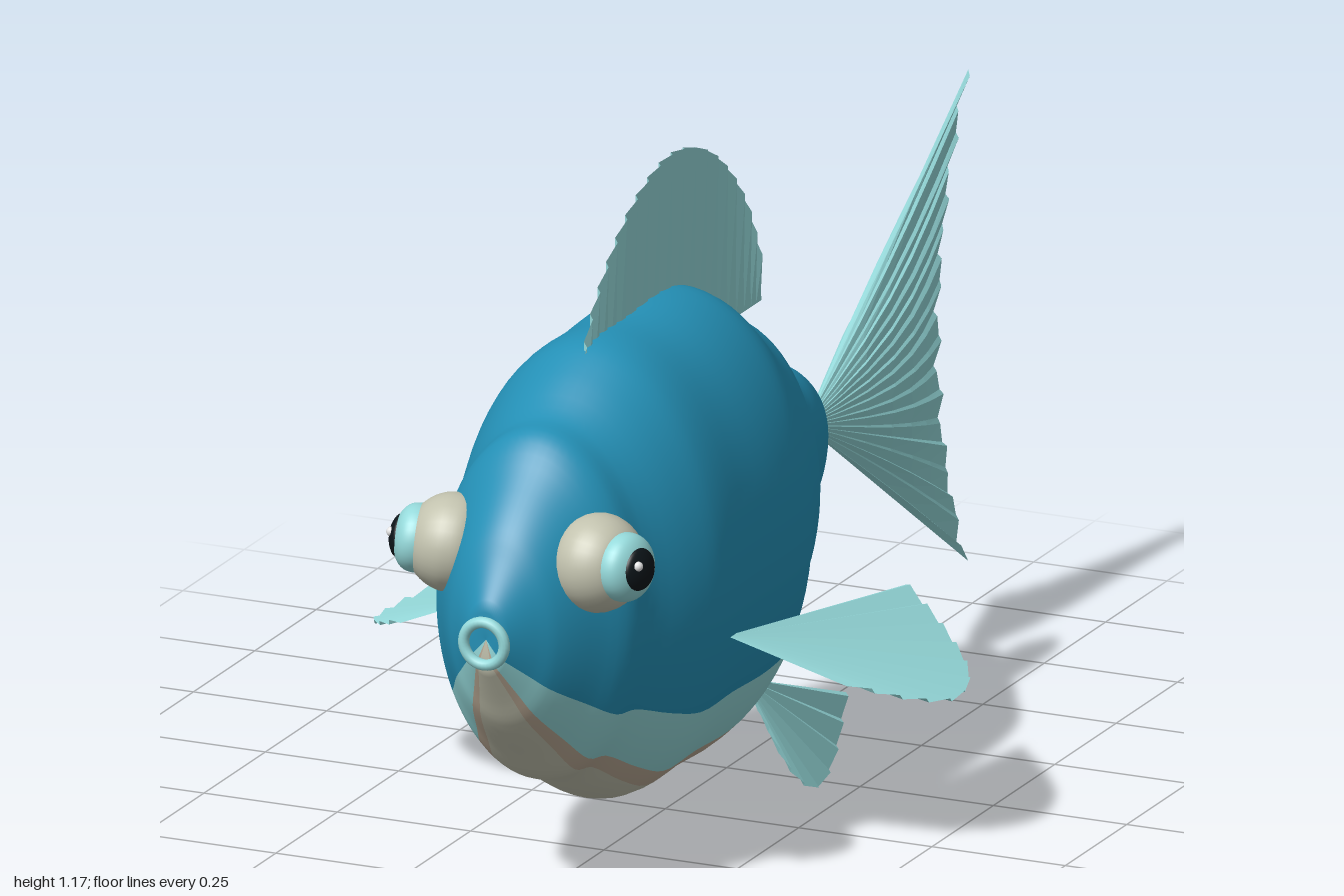
import * as THREE from 'three';

const mat = (name, color, side = THREE.FrontSide) => {
  const m = new THREE.MeshStandardMaterial({ color, side });
  m.name = name;
  return m;
};
const V2 = (x, y) => new THREE.Vector2(x, y);
const V3 = (x, y, z) => new THREE.Vector3(x, y, z);

// Flat-shaded pleated sheet: surface(t, s) runs along the fin (t) and root to rim (s)
function pleatedFin(surface, pleats, rows, normal, depth) {
  const point = (t, s, k) => surface(t, s).addScaledVector(normal, (k % 2 ? 1 : -1) * depth * s);
  const ts = [];
  for (let i = 0; i < pleats; i++) ts.push(i / pleats, (i + 0.82) / pleats);
  ts.push(1);
  const pos = [];
  for (let k = 0; k < ts.length - 1; k++) {
    for (let r = 0; r < rows; r++) {
      const a = point(ts[k], r / rows, k), b = point(ts[k + 1], r / rows, k + 1);
      const c = point(ts[k + 1], (r + 1) / rows, k + 1), d = point(ts[k], (r + 1) / rows, k);
      for (const p of [a, b, c, a, c, d]) pos.push(p.x, p.y, p.z);
    }
  }
  const g = new THREE.BufferGeometry();
  g.setAttribute('position', new THREE.Float32BufferAttribute(pos, 3));
  g.computeVertexNormals();
  return g;
}

export function createModel() {
  const fish = new THREE.Group();
  fish.name = 'fish';
  const blue = mat('bodyBlue', 0x2490b6);
  const aqua = mat('finAqua', 0x95d9da, THREE.DoubleSide);
  const tan = mat('flankTan', 0xbcab96);
  const beige = mat('bellyBeige', 0xc2c2ae);
  const black = mat('pupilBlack', 0x0c1418);
  const white = mat('glintWhite', 0xffffff);
  const add = (name, geometry, material, parent = fish) => {
    const m = new THREE.Mesh(geometry, material);
    m.name = name;
    parent.add(m);
    return m;
  };

  // Body: wavy profile (radius, z) turned around z and narrowed in x
  const midY = 0.52;
  const profile = new THREE.CatmullRomCurve3([
    [0.05, -0.335], [0.095, -0.29], [0.14, -0.22], [0.165, -0.15], [0.22, -0.08], [0.285, -0.01],
    [0.312, 0.04], [0.335, 0.08], [0.4, 0.18], [0.416, 0.28], [0.412, 0.42], [0.41, 0.55],
    [0.375, 0.63], [0.322, 0.72], [0.308, 0.78], [0.25, 0.84], [0.175, 0.91], [0.125, 0.94], [0.05, 0.985],
  ].map(([r, z]) => V3(r, z, 0))).getPoints(72).map(p => V2(p.x, p.y));
  const outline = [V2(0, -0.345), ...profile, V2(0, 0.98)];
  const deg = Math.PI / 180;
  const band = (name, material, from, to) => {
    const g = new THREE.LatheGeometry(outline, Math.ceil((to - from) / 5), from * deg, (to - from) * deg);
    g.rotateX(Math.PI / 2).scale(0.6, 1, 1).translate(0, midY, 0);
    add(name, g, material);
  };
  band('belly', beige, -24, 24);
  band('leftTanStripe', tan, 24, 33);
  band('rightTanStripe', tan, -33, -24);
  band('leftAquaStripe', aqua, 33, 56);
  band('rightAquaStripe', aqua, -56, -33);
  band('back', blue, 56, 304);

  // Mouth ring
  add('lips', new THREE.TorusGeometry(0.038, 0.01, 12, 32), aqua).position.set(0, 0.515, 0.988);

  // Dorsal fin with upright pleats
  const crest = new THREE.CatmullRomCurve3([
    [0.6, 0.89], [0.56, 0.97], [0.48, 1.06], [0.38, 1.13], [0.24, 1.17],
    [0.1, 1.14], [0, 1.075], [-0.08, 0.985], [-0.135, 0.875],
  ].map(([z, y]) => V3(0.003, y, z)));
  add('dorsalFin', pleatedFin((t, s) => {
    const p = crest.getPointAt(t);
    p.y = 0.8 + (p.y - 0.8) * s;
    return p;
  }, 20, 1, V3(1, 0, 0), 0.004), aqua);

  // Tail: two bowed fans with a scalloped rim
  for (const s of [1, -1]) {
    add(s > 0 ? 'leftTailFan' : 'rightTailFan', pleatedFin((t, r) => {
      const v = t * 2 - 1;
      const rim = V3(0, midY + 0.44 * v, -0.87 - 0.12 * v * v - 0.012 * (Math.cos(v * Math.PI * 8) - 1));
      const p = V3(0, 0.52, -0.32).lerp(rim, r);
      p.x = s * 0.042 * Math.sin(Math.PI * r) * (1 - v * v);
      return p;
    }, 18, 6, V3(1, 0, 0), 0.003), aqua);
  }

  for (const s of [1, -1]) {
    const side = s > 0 ? 'left' : 'right';
    const fan = (name, apex, rimPoints, normal, pleats) => {
      const root = V3(s * apex[0], apex[1], apex[2]);
      const rim = new THREE.CatmullRomCurve3(rimPoints.map(([x, y, z]) => V3(s * x, y, z)));
      add(side + name, pleatedFin((t, r) => root.clone().lerp(rim.getPointAt(t), r),
        pleats, 1, V3(s * normal[0], normal[1], normal[2]).normalize(), 0.004), aqua);
    };
    // Pectoral fins, sloping out and down
    fan('PectoralFin', [0.235, 0.42, 0.51], [
      [0.42, 0.42], [0.49, 0.35], [0.542, 0.25], [0.52, 0.14], [0.43, 0.05], [0.332, -0.01],
    ].map(([x, z]) => [x, 0.42 - 0.49 * (x - 0.24), z]), [0.44, 0.9, 0], 11);
    // Pelvic fins below the belly
    fan('PelvicFin', [0.11, 0.225, 0.165], [
      [0.135, 0.17, 0.16], [0.17, 0.05, 0.105], [0.188, 0.003, 0.045],
      [0.19, 0.03, -0.02], [0.19, 0.14, -0.08],
    ], [0.9, 0.35, 0.2], 9);

    // Bulging eyes turned slightly forward
    const eye = new THREE.Group();
    eye.name = side + 'Eye';
    eye.position.set(s * 0.14, 0.63, 0.822);
    eye.quaternion.setFromUnitVectors(V3(0, 1, 0), V3(s, 0.08, 0.28).normalize());
    fish.add(eye);
    const turned = (name, pts, material) => add(name, new THREE.LatheGeometry(
      new THREE.SplineCurve(pts.map(([r, h]) => V2(r, h))).getPoints(24)
        .map(p => V2(Math.max(p.x, 0), p.y)), 32), material, eye);
    turned('eyelid', [[0.04, -0.07], [0.078, -0.035], [0.086, 0], [0.078, 0.03], [0.062, 0.052], [0.045, 0.062]], beige);
    turned('iris', [[0.056, 0.03], [0.06, 0.06], [0.052, 0.08], [0.03, 0.093], [0, 0.096]], aqua);
    turned('pupil', [[0.038, 0.082], [0.035, 0.094], [0.018, 0.103], [0, 0.105]], black);
    const glint = add('glint', new THREE.SphereGeometry(0.009, 12, 8), white, eye);
    glint.position.set(-s * 0.014, 0.1, 0.012);
  }
  return fish;
}
